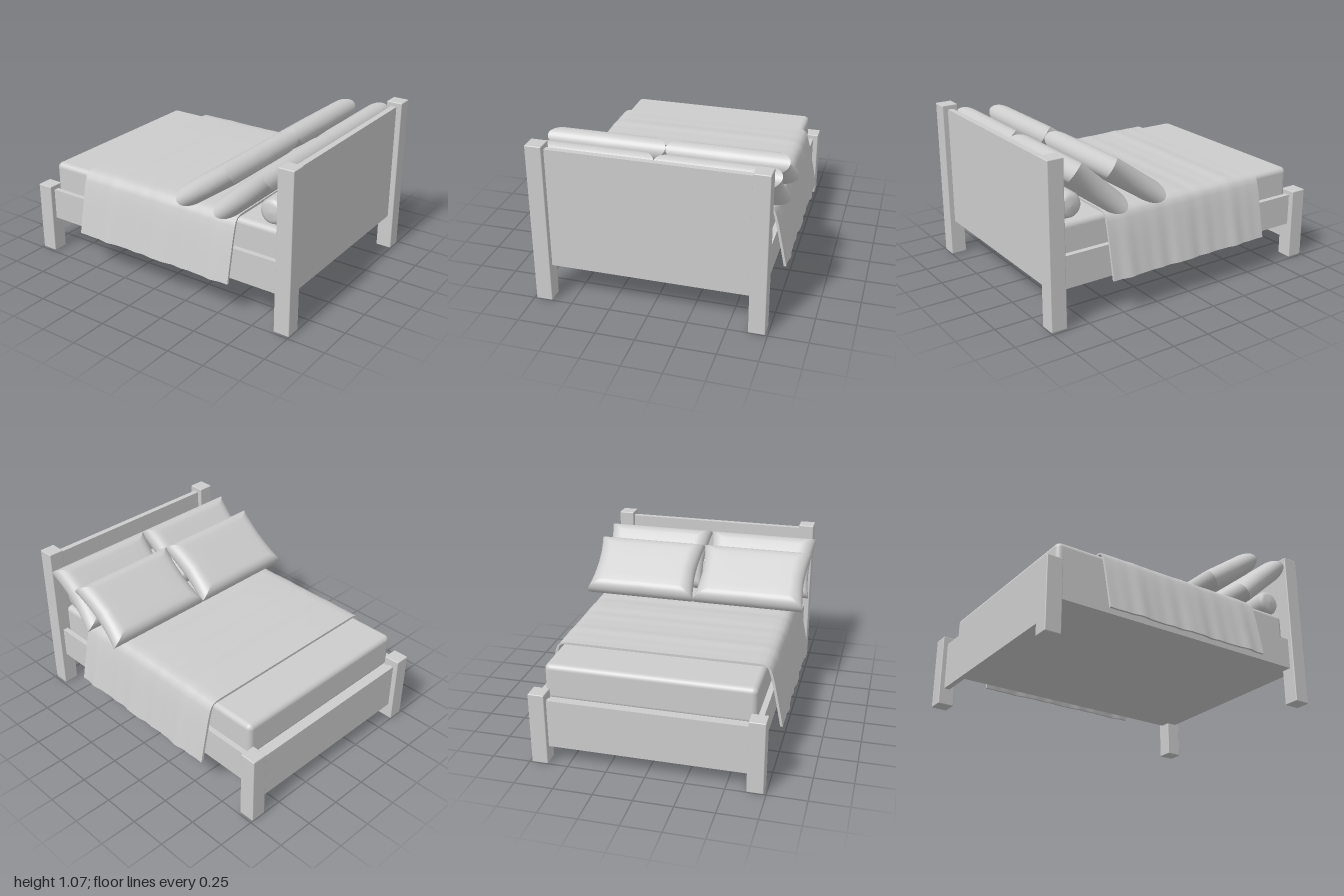
import * as THREE from 'three';
import { mergeVertices, toCreasedNormals } from 'three/addons/utils/BufferGeometryUtils.js';
import { RoundedBoxGeometry } from 'three/addons/geometries/RoundedBoxGeometry.js';

const grey = new THREE.MeshStandardMaterial({ color: 0xcccccc });
grey.name = 'plain grey';

function add(parent, name, geometry) {
  const mesh = new THREE.Mesh(geometry, grey);
  mesh.name = name;
  parent.add(mesh);
  return mesh;
}

// Box given by its extents, optionally with rounded edges
function box(parent, name, [x0, x1], [y0, y1], [z0, z1], radius = 0) {
  const size = [x1 - x0, y1 - y0, z1 - z0];
  const geometry = radius
    ? new RoundedBoxGeometry(...size, 4, radius)
    : new THREE.BoxGeometry(...size);
  const mesh = add(parent, name, geometry);
  mesh.position.set((x0 + x1) / 2, (y0 + y1) / 2, (z0 + z1) / 2);
  return mesh;
}

function fromArrays(points, index, crease) {
  const g = new THREE.BufferGeometry();
  g.setAttribute('position', new THREE.Float32BufferAttribute(points, 3));
  g.setIndex(index);
  return toCreasedNormals(mergeVertices(g, 1e-5), crease);
}

// Cushion with round edges, mitred corners and slightly hollow short ends
function pillowGeometry(halfLength, halfDepth, r) {
  const EDGE = 8, MID = 6, N = EDGE * 2 + MID;
  const endTaper = 0.1;
  const angle = i => Math.min(1, Math.min(i, N - i) / EDGE) * Math.PI / 2;
  const along = (i, half, edge) => {
    if (i > N / 2) return -along(N - i, half, edge);
    if (i <= EDGE) return -half + edge * (1 - Math.cos(angle(i)));
    return -(half - edge) * (1 - (i - EDGE) / (MID / 2));
  };
  const points = [], index = [];
  for (const side of [1, -1]) {
    const base = points.length / 3;
    for (let i = 0; i <= N; i++) {
      for (let j = 0; j <= N; j++) {
        const x = along(i, halfLength, r), z = along(j, halfDepth, endTaper);
        const u = x / halfLength, v = z / halfDepth;
        points.push(x, side * r * Math.sin(Math.min(angle(i), angle(j))),
          z - 0.025 * (1 - u * u) * v ** 3);
      }
    }
    for (let i = 0; i < N; i++) {
      for (let j = 0; j < N; j++) {
        const a = base + i * (N + 1) + j, b = a + 1, d = a + N + 1, c = d + 1;
        // Triangle diagonals follow the mitre lines
        const tris = (i < N / 2) === (j < N / 2)
          ? [a, b, c, a, c, d] : [a, b, d, b, c, d];
        if (side < 0) tris.reverse();
        index.push(...tris);
      }
    }
  }
  return fromArrays(points, index, 0.6);
}

// Draped cloth: a folded cross-section swept along x with soft ripples
function blanketGeometry(x0, x1) {
  const half = [[0, 0.657], [0.3, 0.657], [0.6, 0.657], [0.645, 0.654], [0.672, 0.643],
    [0.69, 0.625], [0.701, 0.595], [0.718, 0.53], [0.735, 0.45], [0.757, 0.345], [0.778, 0.24]];
  const outer = [...half.slice(1).reverse().map(([z, y]) => [-z, y]), ...half];
  const thick = 0.016, steps = 90, K = outer.length;
  const ripple = x => 0.5 * Math.sin(15 * x + 1) + 0.35 * Math.sin(31 * x) + 0.25 * Math.sin(53 * x + 2);
  const points = [], index = [];
  for (let s = 0; s <= steps; s++) {
    const x = x0 + (x1 - x0) * s / steps, w = ripple(x);
    for (const inset of [0, thick]) {
      for (const [z, y] of outer) {
        const drop = THREE.MathUtils.clamp((0.65 - y) / 0.41, 0, 1);
        const side = THREE.MathUtils.smoothstep(Math.abs(z), 0.62, 0.7);
        points.push(x,
          y + w * 0.004 * (1 - side) - inset * (1 - side),
          z + Math.sign(z) * (w * (0.002 + 0.006 * drop) - inset) * side);
      }
    }
  }
  const quad = (a, b, c, d) => index.push(a, b, c, a, c, d);
  const at = (s, layer, k) => (s * 2 + layer) * K + k;
  for (let s = 0; s < steps; s++) {
    for (let k = 0; k < K - 1; k++) {
      quad(at(s, 0, k), at(s, 0, k + 1), at(s + 1, 0, k + 1), at(s + 1, 0, k));
      quad(at(s, 1, k), at(s + 1, 1, k), at(s + 1, 1, k + 1), at(s, 1, k + 1));
    }
    // Hems
    quad(at(s, 0, 0), at(s + 1, 0, 0), at(s + 1, 1, 0), at(s, 1, 0));
    quad(at(s, 0, K - 1), at(s, 1, K - 1), at(s + 1, 1, K - 1), at(s + 1, 0, K - 1));
  }
  // End edges
  for (let k = 0; k < K - 1; k++) {
    quad(at(0, 0, k), at(0, 1, k), at(0, 1, k + 1), at(0, 0, k + 1));
    quad(at(steps, 0, k), at(steps, 0, k + 1), at(steps, 1, k + 1), at(steps, 1, k));
  }
  return fromArrays(points, index, 0.8);
}

export function createModel() {
  const bed = new THREE.Group();
  bed.name = 'bed';

  // Frame
  const frame = new THREE.Group();
  frame.name = 'frame';
  bed.add(frame);
  for (const s of [1, -1]) {
    const z = [0.63, 0.735].map(v => v * s).sort((a, b) => a - b);
    box(frame, 'headPost', [0.893, 1], [0, 1.065], z, 0.006);
    box(frame, 'footPost', [-1, -0.893], [0, 0.48], z, 0.006);
    const rail = [0.665, 0.7].map(v => v * s).sort((a, b) => a - b);
    box(frame, 'sideRail', [-0.93, 0.93], [0.24, 0.45], rail);
  }
  box(frame, 'headboard', [0.925, 0.963], [0.24, 1.035], [-0.64, 0.64]);
  box(frame, 'footboard', [-0.967, -0.93], [0.11, 0.43], [-0.64, 0.64]);
  box(frame, 'bedBase', [-0.93, 0.925], [0.24, 0.42], [-0.665, 0.665]);

  // Bedding
  box(bed, 'mattress', [-0.893, 0.89], [0.4, 0.638], [-0.662, 0.662], 0.035);
  add(bed, 'blanket', blanketGeometry(-0.595, 0.588));

  // Two leaning rows of two pillows
  const rows = [
    { name: 'frontPillow', x: 0.4, y: 0.818, tilt: 35.5 },
    { name: 'backPillow', x: 0.6625, y: 0.825, tilt: 41.8 },
  ];
  const pillow = pillowGeometry(0.23, 0.385, 0.07);
  for (const row of rows) {
    for (const s of [1, -1]) {
      const mesh = add(bed, row.name, pillow);
      mesh.position.set(row.x, row.y, 0.385 * s);
      mesh.rotation.z = THREE.MathUtils.degToRad(row.tilt);
    }
  }

  // Bolster roll with softened ends
  const profile = [[0, -0.655], [0.05, -0.65], [0.072, -0.64], [0.082, -0.62],
    [0.082, 0.62], [0.072, 0.64], [0.05, 0.65], [0, 0.655]]
    .map(([x, y]) => new THREE.Vector2(x, y));
  const bolster = add(bed, 'bolster', new THREE.LatheGeometry(profile, 32));
  bolster.rotation.x = Math.PI / 2;
  bolster.position.set(0.803, 0.727, 0);

  return bed;
}
